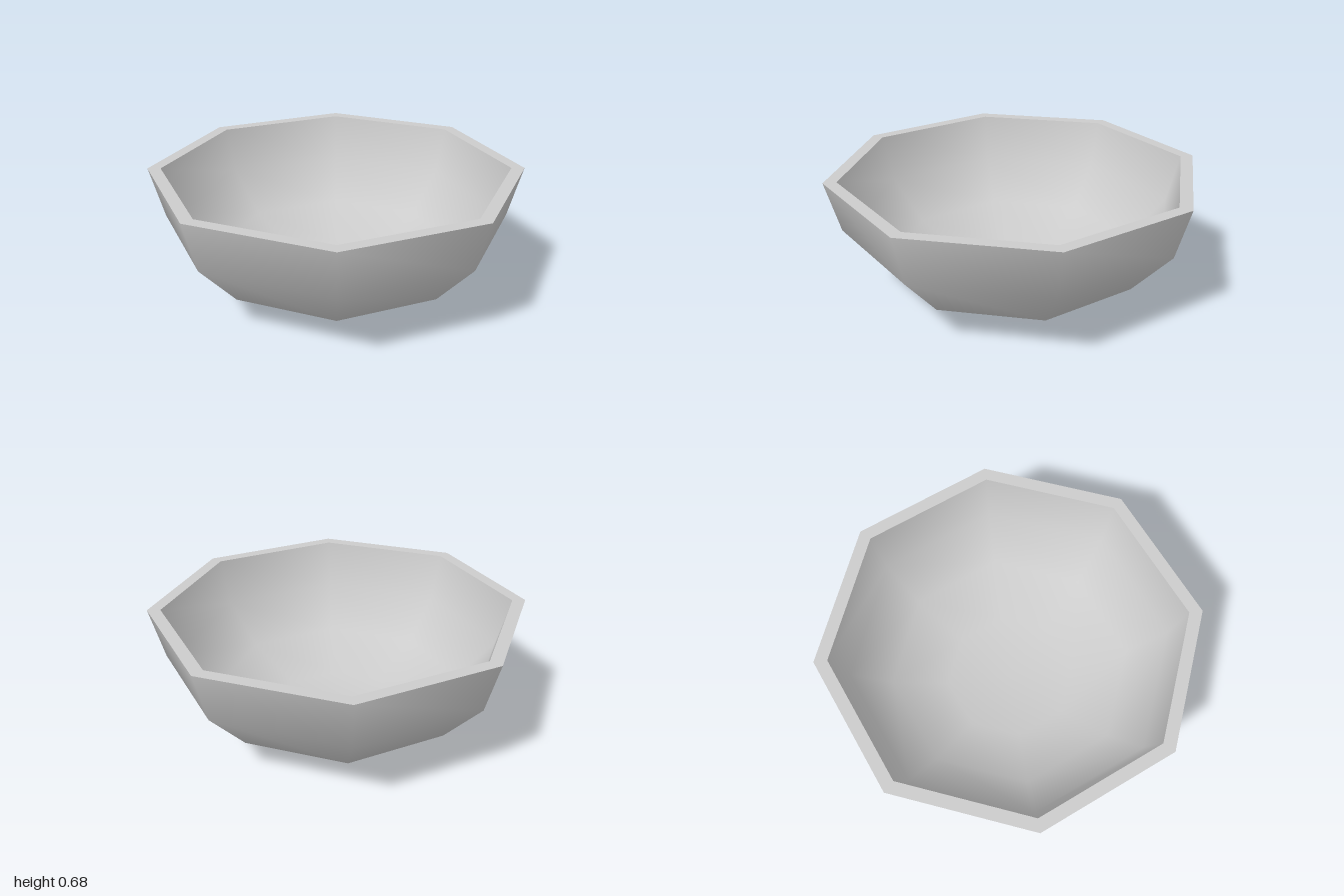
import * as THREE from 'three';

const SIDES = 8;
const HEIGHT = 0.675;

export function createModel() {
  const bowl = new THREE.Group();
  bowl.name = 'bowl';
  const material = new THREE.MeshStandardMaterial({ color: 0xcccccc });

  // Turn a radius/height profile into an eight-sided shell
  function turned(name, profile) {
    const points = profile.map(([r, y]) => new THREE.Vector2(r, y));
    const mesh = new THREE.Mesh(new THREE.LatheGeometry(points, SIDES), material);
    mesh.name = name;
    bowl.add(mesh);
  }

  // Outside, from the flat base up to the rim
  turned('outerShell', [[0, 0], [0.383, 0], [0.707, 0.163], [0.924, 0.403], [1, HEIGHT]]);
  // Flat lip joining the two shells
  turned('rim', [[1, HEIGHT], [0.93, HEIGHT]]);
  // Inside, from the rim down to the floor
  turned('innerShell', [[0.93, HEIGHT], [0.86, 0.425], [0.66, 0.21], [0.36, 0.065], [0, 0.065]]);

  return bowl;
}
